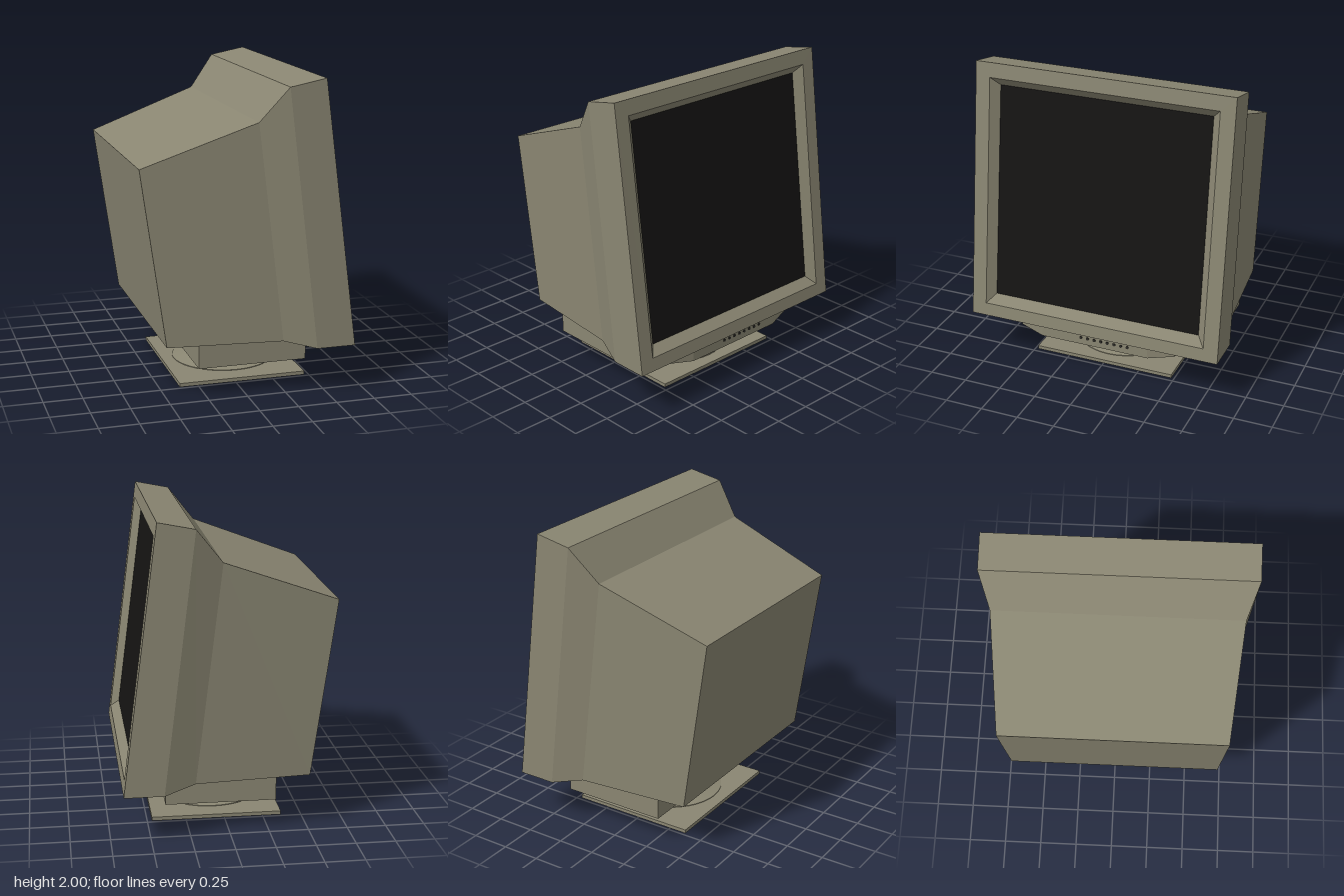
import * as THREE from 'three';
import { toCreasedNormals } from 'three/addons/utils/BufferGeometryUtils.js';

const shell = new THREE.MeshStandardMaterial({ color: 0x8a8672 });
const glass = new THREE.MeshStandardMaterial({ color: 0x151413 });
const dark = new THREE.MeshStandardMaterial({ color: 0x2e2d28 });

// Rectangular section across the casing: bottom and top points (x, y), half width in z
const section = (xb, yb, xt, yt, h) => [[xb, yb, h], [xb, yb, -h], [xt, yt, -h], [xt, yt, h]];

// Flat-faced geometry from a list of four-cornered faces
function quads(faces) {
  const pos = [];
  for (const [a, b, c, d] of faces) for (const p of [a, b, c, a, c, d]) pos.push(...p);
  const g = new THREE.BufferGeometry();
  g.setAttribute('position', new THREE.Float32BufferAttribute(pos, 3));
  g.computeVertexNormals();
  return g;
}

function loft(sections) {
  const faces = [];
  for (let i = 0; i < sections.length - 1; i++) {
    for (let j = 0; j < 4; j++) {
      const k = (j + 1) % 4;
      faces.push([sections[i][j], sections[i][k], sections[i + 1][k], sections[i + 1][j]]);
    }
  }
  return faces;
}

function lathe(points) {
  const g = new THREE.LatheGeometry(points.map(([r, y]) => new THREE.Vector2(r, y)), 40);
  return toCreasedNormals(g, 0.4);
}

export function createModel() {
  const group = new THREE.Group();
  const add = (name, geometry, material, x = 0, y = 0, z = 0) => {
    const mesh = new THREE.Mesh(geometry, material);
    mesh.name = name;
    mesh.position.set(x, y, z);
    group.add(mesh);
    return mesh;
  };

  // Casing: rear, shoulder, bezel back, bezel front, then the recess around the screen
  const frontX = (y) => 0.67 - 0.13 * (y - 0.31);
  const rear = section(-0.51, 0.355, -0.67, 1.48, 0.715);
  const screen = section(frontX(0.45) - 0.05, 0.45, frontX(1.85) - 0.05, 1.85, 0.705);
  const casing = loft([
    rear,
    section(0.22, 0.355, 0.05, 1.74, 0.785),
    section(0.42, 0.31, 0.22, 1.955, 0.855),
    section(0.67, 0.31, 0.45, 2.0, 0.855),
    section(frontX(0.395), 0.395, frontX(1.905), 1.905, 0.758),
    screen,
  ]);
  casing.push([...rear].reverse());
  add('casing', quads(casing), shell);
  add('screen', quads([screen]), glass);

  // Block under the casing
  add('lowerBlock', new THREE.BoxGeometry(0.7, 0.165, 1.38), shell, 0.05, 0.2725, 0);

  // Control panel with cut corners, its underside rising towards the ends
  const plan = new THREE.Shape([
    [0.38, -0.54], [0.575, -0.54], [0.62, -0.37], [0.62, 0.37], [0.575, 0.54], [0.38, 0.54],
  ].map(([x, z]) => new THREE.Vector2(x, z)));
  const panel = new THREE.ExtrudeGeometry(plan, { depth: 0.1, bevelEnabled: false });
  panel.rotateX(-Math.PI / 2).translate(0, 0.212, 0);
  const p = panel.attributes.position;
  for (let i = 0; i < p.count; i++) {
    if (p.getY(i) < 0.25 && Math.abs(p.getZ(i)) > 0.5) p.setY(i, 0.238);
  }
  panel.computeVertexNormals();
  add('controlPanel', panel, shell);

  // Row of buttons
  const button = new THREE.CylinderGeometry(0.01, 0.01, 0.01, 12).rotateZ(Math.PI / 2);
  for (let i = 0; i < 8; i++) add('button', button, dark, 0.62, 0.26, 0.093 - i * 0.0465);

  // Swivel cone and collar
  add('swivel', lathe([
    [0, 0.06], [0.165, 0.06], [0.165, 0.075], [0.19, 0.078], [0.19, 0.088],
    [0.2, 0.092], [0.35, 0.19], [0, 0.19],
  ]), shell, 0.05);

  // Foot plate with a round opening underneath
  const plate = new THREE.Shape([
    [-0.42, -0.48], [0.42, -0.48], [0.42, 0.48], [-0.42, 0.48],
  ].map(([x, z]) => new THREE.Vector2(x, z)));
  plate.holes.push(new THREE.Path().absarc(0, 0, 0.2, 0, Math.PI * 2, true));
  const foot = new THREE.ExtrudeGeometry(plate, { depth: 0.024, bevelEnabled: false, curveSegments: 40 });
  add('footPlate', foot.rotateX(-Math.PI / 2), shell, 0.05);

  // Raised centre of the foot, with the recessed disc below
  add('footHub', lathe([
    [0, 0.012], [0.165, 0.012], [0.175, 0.022], [0.2, 0.022], [0.34, 0.022],
    [0.34, 0.028], [0.2, 0.058], [0.175, 0.07], [0, 0.07],
  ]), shell, 0.05);

  return group;
}
